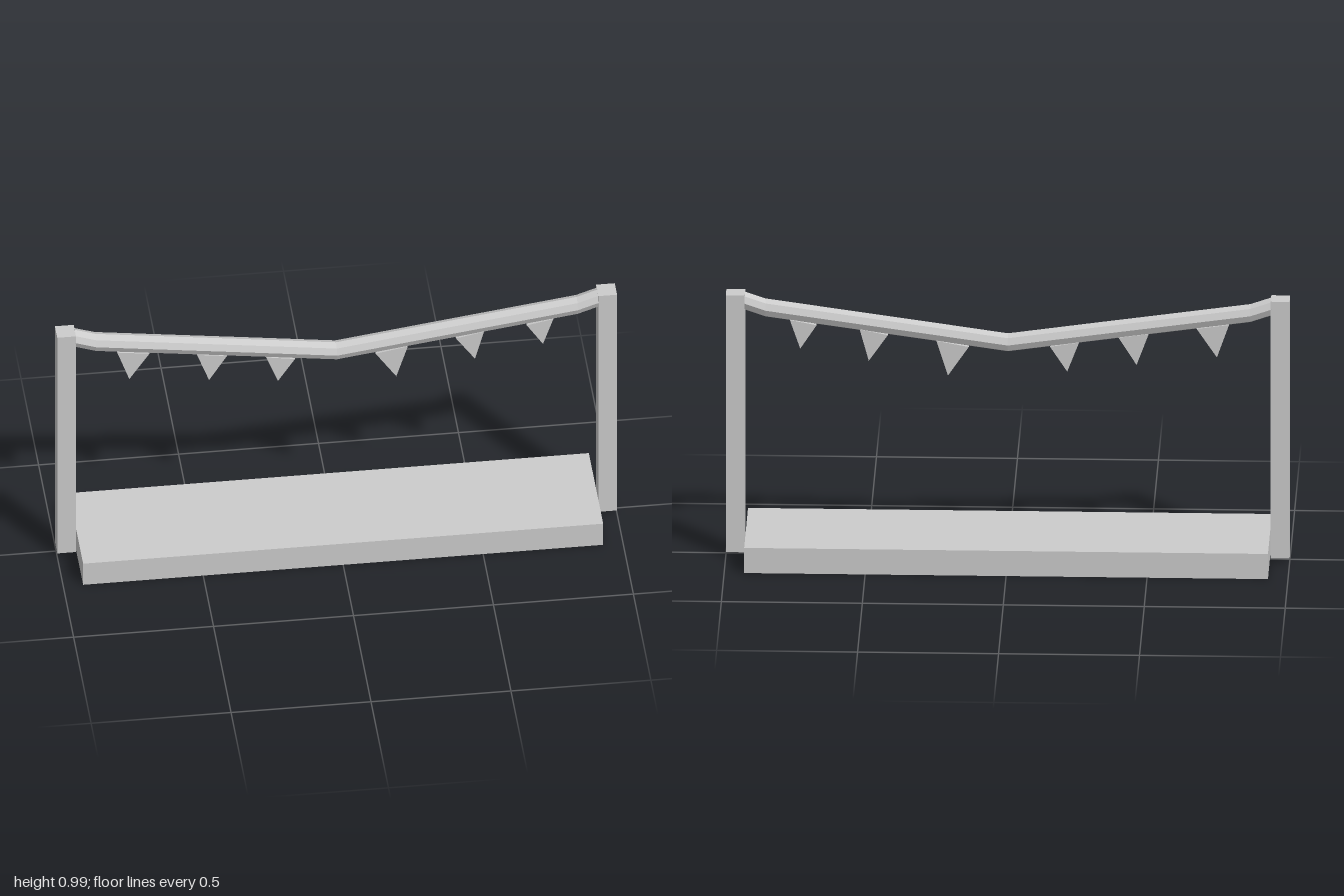
import * as THREE from 'three';

const material = new THREE.MeshStandardMaterial({ color: 0xcccccc, flatShading: true });

function addMesh(parent, name, geometry, x = 0, y = 0, z = 0) {
  const mesh = new THREE.Mesh(geometry, material);
  mesh.name = name;
  mesh.position.set(x, y, z);
  parent.add(mesh);
  return mesh;
}

// Eight-sided rope: a straight cylinder whose rings are moved onto the sagging path
function ropeGeometry(path, radius) {
  const segments = path.length - 1;
  const geometry = new THREE.CylinderGeometry(radius, radius, segments, 8, segments);
  geometry.rotateZ(Math.PI / 2);
  const pos = geometry.attributes.position;
  for (let i = 0; i < pos.count; i++) {
    const [x, y] = path[Math.round(pos.getX(i) + segments / 2)];
    pos.setXY(i, x, pos.getY(i) + y);
  }
  geometry.computeVertexNormals();
  return geometry;
}

// Triangular prism centred on z = 0
function pennantGeometry(points, depth) {
  const shape = new THREE.Shape(points.map(([x, y]) => new THREE.Vector2(x, y)));
  return new THREE.ExtrudeGeometry(shape, { depth, bevelEnabled: false }).translate(0, 0, -depth / 2);
}

export function createModel() {
  const model = new THREE.Group();
  model.name = 'pennantGate';

  // Base slab
  addMesh(model, 'base', new THREE.BoxGeometry(1.858, 0.095, 0.41), 0, 0.0475, 0);

  // Posts at both ends
  for (const side of [-1, 1]) {
    addMesh(model, side > 0 ? 'leftPost' : 'rightPost',
      new THREE.BoxGeometry(0.067, 0.97, 0.067), side * 0.9665, 0.5, 0);
  }

  // Sagging rope, mirrored about the middle
  const half = [[0.31, 0.852], [0.86, 0.929], [0.935, 0.955]];
  const path = [...half.map(([x, y]) => [-x, y]).reverse(), [0, 0.808], ...half];
  addMesh(model, 'rope', ropeGeometry(path, 0.034));

  // Hanging pennants: top corner, tip, top corner
  const pennants = [
    [[-0.785, 0.893], [-0.742, 0.77], [-0.67, 0.877]],
    [[-0.5, 0.855], [-0.457, 0.738], [-0.393, 0.84]],
    [[-0.253, 0.82], [-0.211, 0.71], [-0.15, 0.803]],
    [[0.138, 0.799], [0.212, 0.69], [0.253, 0.82]],
    [[0.425, 0.84], [0.493, 0.742], [0.525, 0.86]],
    [[0.678, 0.874], [0.736, 0.785], [0.773, 0.893]],
  ];
  pennants.forEach((points, i) => addMesh(model, `pennant${i + 1}`, pennantGeometry(points, 0.056)));

  return model;
}
